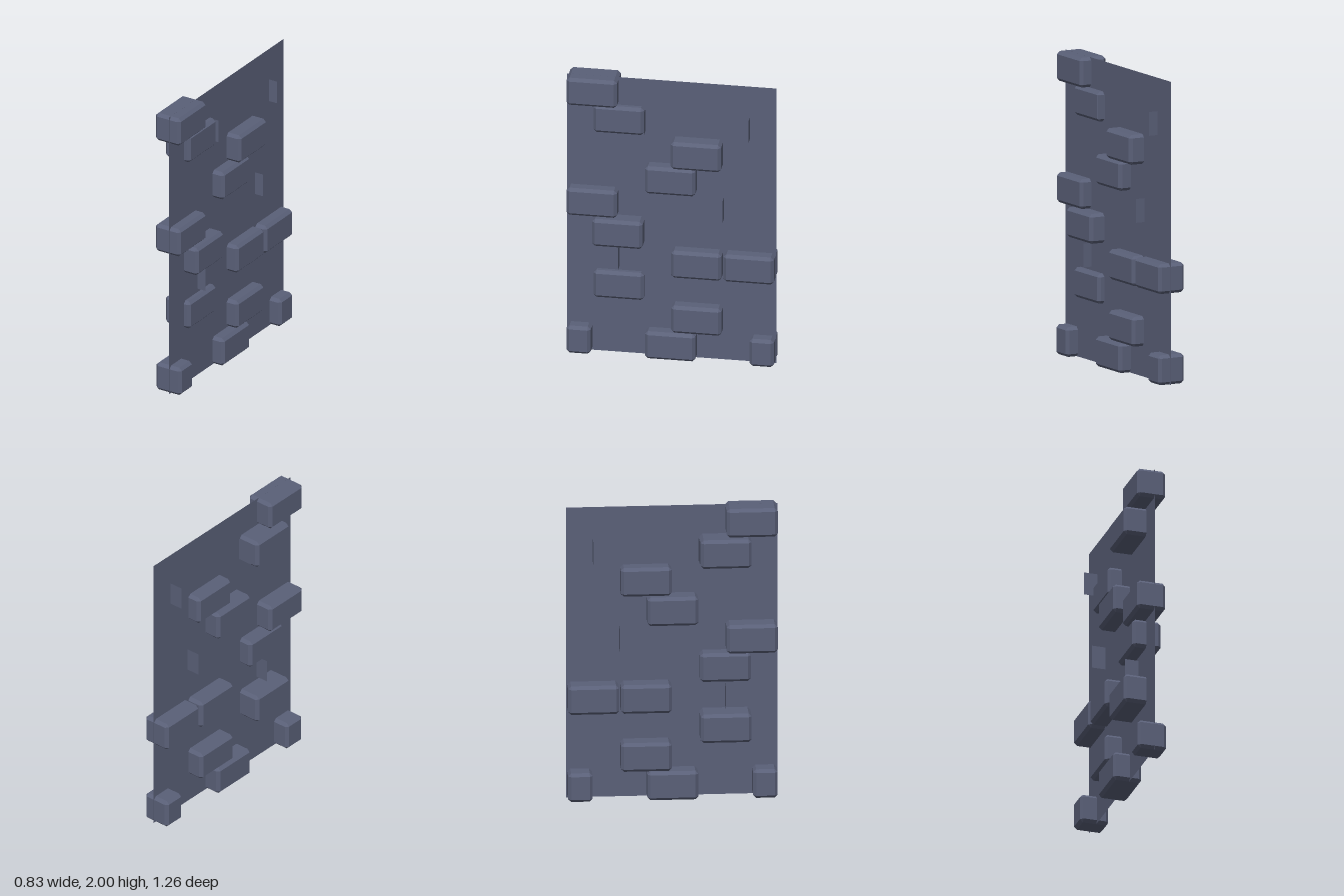
import * as THREE from 'three';
import { ConvexGeometry } from 'three/addons/geometries/ConvexGeometry.js';

const UNIT = 0.172;   // half a brick along the wall
const START = -0.692; // wall's near end
const ROW = 0.2003;   // course height
const H = 0.197, D = 0.194, GAP = 0.012, BEVEL = 0.02;

// Box with every edge and corner chamfered
function chamferedBox(w, h, d, c) {
  const points = [];
  for (const x of [-1, 1]) for (const y of [-1, 1]) for (const z of [-1, 1]) {
    for (const [a, b, e] of [[0, c, c], [c, 0, c], [c, c, 0]]) {
      points.push(new THREE.Vector3(x * (w / 2 - a), y * (h / 2 - b), z * (d / 2 - e)));
    }
  }
  return new ConvexGeometry(points);
}

export function createModel() {
  const model = new THREE.Group();
  model.name = 'brickWall';
  const material = new THREE.MeshStandardMaterial({ color: 0x5a6078, flatShading: true });
  const thin = material.clone();
  thin.side = THREE.DoubleSide;

  const wall = new THREE.Group();
  wall.name = 'wall';
  wall.rotation.y = Math.PI / 3;
  model.add(wall);

  const add = (name, geometry, mat, x, y, z) => {
    const mesh = new THREE.Mesh(geometry, mat);
    mesh.name = name;
    mesh.position.set(x, y, z);
    wall.add(mesh);
    return mesh;
  };
  const rowY = (row) => H / 2 + row * ROW;

  // Thin mortar panel
  add('panel', new THREE.PlaneGeometry(8 * UNIT, 2), thin, START + 4 * UNIT, 1, 0.0145);

  // Bricks: [row, first unit, units long, offset out of the wall]
  const bricks = [
    [0, 0, 1, 0], [0, 3, 2, 0], [0, 7, 1, 0],
    [1, 4, 2, 0],
    [2, 1, 2, -0.038],
    [3, 4, 2, 0], [3, 6, 2, 0],
    [4, 1, 2, 0.02],
    [5, 0, 2, -0.005],
    [6, 3, 2, 0],
    [7, 4, 2, 0.02],
    [8, 1, 2, -0.038],
    [9, 0, 2, -0.005],
  ];
  for (const [row, first, units, out] of bricks) {
    add('brick', chamferedBox(units * UNIT - GAP, H, D, BEVEL), material,
      START + (first + units / 2) * UNIT, rowY(row), out);
  }

  // Upright slips standing across the panel: [row, unit, offset]
  const slip = new THREE.PlaneGeometry(D - 2 * BEVEL, H - 2 * BEVEL);
  for (const [row, unit, out] of [[3, 2, 0], [5, 6, 0], [8, 7, 0], [8, 3, -0.01]]) {
    add('slip', slip, thin, START + unit * UNIT, rowY(row), out).rotation.y = Math.PI / 2;
  }
  return model;
}
